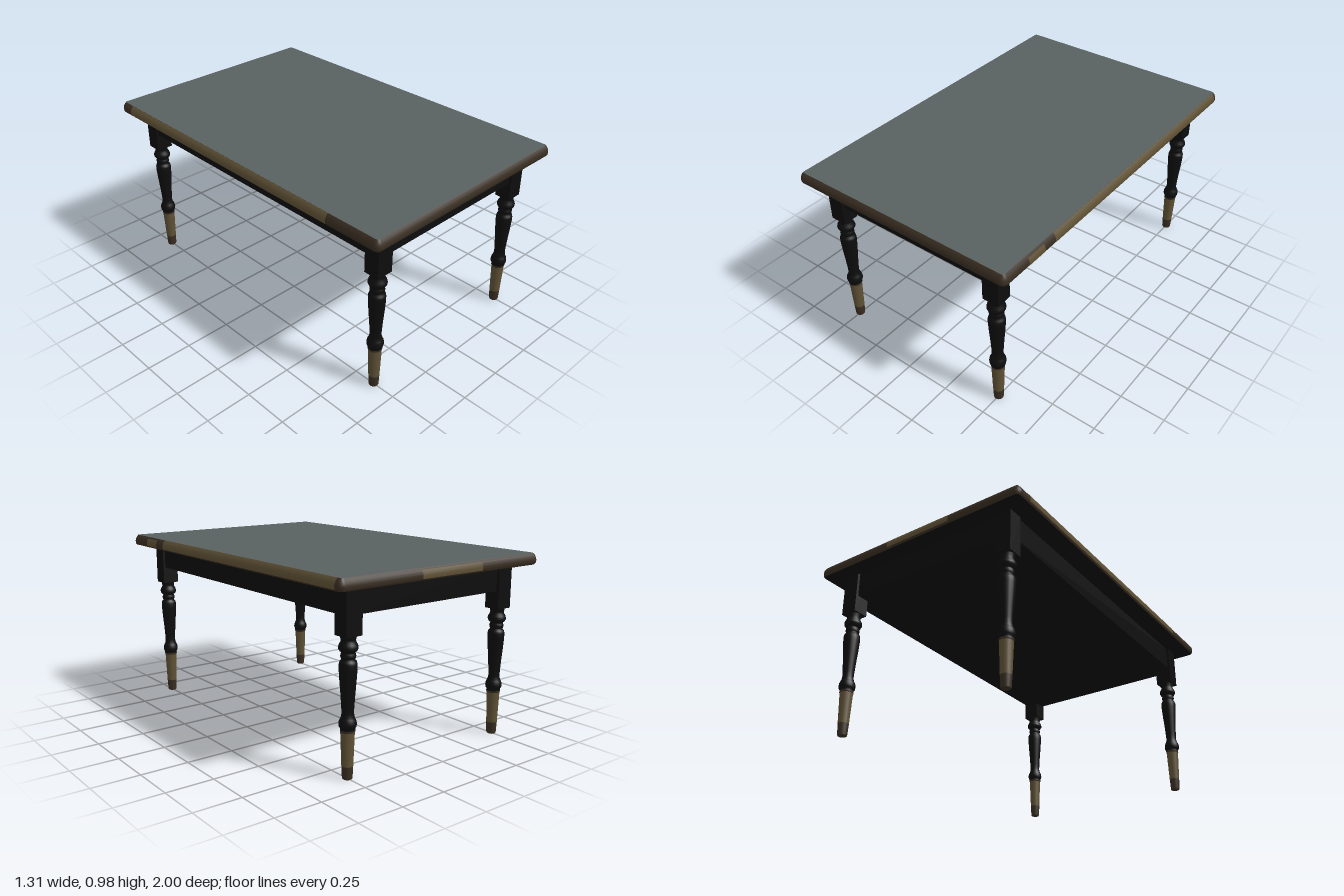
import * as THREE from 'three';

const mat = (name, color) => {
  const m = new THREE.MeshStandardMaterial({ color });
  m.name = name;
  return m;
};

const HALF_X = 0.652, HALF_Z = 1, CORNER = 0.03;
// Table edge profile, bottom to top: [inset, y]
const EDGE = [[0.009, 0.917], [0.002, 0.925], [0, 0.94], [0.003, 0.954], [0.01, 0.967], [0.018, 0.976]];

// Rounded rectangle outline in (x, z), shrunk by an inset
function outline(inset) {
  const pts = [];
  const r = CORNER - inset;
  [[1, 1], [-1, 1], [-1, -1], [1, -1]].forEach(([sx, sz], c) => {
    for (let i = 0; i <= 5; i++) {
      const a = (c + i / 5) * Math.PI / 2;
      pts.push(new THREE.Vector2(sx * (HALF_X - CORNER) + r * Math.cos(a), sz * (HALF_Z - CORNER) + r * Math.sin(a)));
    }
  });
  return pts;
}

// Rim of the table top, lofted through the profile
function rimGeometry() {
  const pos = [], idx = [];
  EDGE.forEach(([d, y]) => outline(d).forEach(p => pos.push(p.x, y, p.y)));
  const n = pos.length / 3 / EDGE.length;
  for (let j = 0; j < EDGE.length - 1; j++) {
    for (let i = 0; i < n; i++) {
      const a = j * n + i, b = j * n + (i + 1) % n;
      idx.push(a, a + n, b, b, a + n, b + n);
    }
  }
  const g = new THREE.BufferGeometry();
  g.setAttribute('position', new THREE.Float32BufferAttribute(pos, 3));
  g.setIndex(idx);
  g.computeVertexNormals();
  return g;
}

// Flat face closing the rim, facing up or down
function capGeometry([inset, y], up) {
  const g = new THREE.ShapeGeometry(new THREE.Shape(outline(inset)));
  g.rotateX(up ? -Math.PI / 2 : Math.PI / 2);
  return g.translate(0, y, 0);
}

// Worn strip lying just over the rim; runs from u0 to u1 along a side
function wornStrip(half, u0, u1, rows, angle) {
  const g = new THREE.PlaneGeometry(1, 1, 1, rows.length - 1);
  const p = g.attributes.position;
  for (let i = 0; i < p.count; i++) {
    const [d, y] = rows[rows.length - 1 - Math.floor(i / 2)];
    p.setXYZ(i, i % 2 ? u1 : u0, y + 0.0005, half - d + 0.0015);
  }
  g.computeVertexNormals();
  return g.rotateY(angle);
}

export function createModel() {
  const black = mat('blackPaint', 0x0d0d0d);
  const grey = mat('greyTop', 0x596060);
  const brown = mat('darkWood', 0x392e22);
  const tan = mat('wornWood', 0x5f5135);

  const model = new THREE.Group();
  model.name = 'diningTable';
  const add = (parent, name, geometry, material, x = 0, y = 0, z = 0) => {
    const m = new THREE.Mesh(geometry, material);
    m.name = name;
    m.position.set(x, y, z);
    parent.add(m);
    return m;
  };

  // Table top
  const top = new THREE.Group();
  top.name = 'tableTop';
  model.add(top);
  add(top, 'topSurface', capGeometry(EDGE[EDGE.length - 1], true), grey);
  add(top, 'topUnderside', capGeometry(EDGE[0], false), black);
  add(top, 'topRim', rimGeometry(), brown);

  // Worn patches along the rim (+x side runs toward -z, -x side toward +z)
  const side = Math.PI / 2;
  const upper = EDGE.slice(1), band = EDGE.slice(1, 5);
  [
    ['rimWearLeftLong', HALF_X, -0.62, 0.96, upper, side],
    ['rimWearLeftShort', HALF_X, -0.82, -0.7, band, side],
    ['rimWearRight', HALF_X, -0.9, 0.68, upper, -side],
    ['rimWearBack', HALF_Z, -0.17, 0.23, band, Math.PI],
  ].forEach(([name, half, u0, u1, rows, angle]) => add(top, name, wornStrip(half, u0, u1, rows, angle), tan));

  // Apron under the top
  add(model, 'apron', new THREE.BoxGeometry(1.07, 0.134, 1.8), black, 0, 0.851, 0);

  // Turned leg profiles: [radius, y]
  const lathe = pts => new THREE.LatheGeometry(pts.map(([r, y]) => new THREE.Vector2(r, y)), 20);
  const tip = lathe([[0, 0], [0.022, 0], [0.025, 0.004], [0.028, 0.065]]);
  const foot = lathe([[0.028, 0.065], [0.034, 0.232]]);
  const collar = lathe([[0.034, 0.232], [0.036, 0.235], [0.036, 0.243]]);
  const shaft = lathe([
    [0.036, 0.243], [0.036, 0.251], [0.041, 0.258], [0.043, 0.27], [0.041, 0.285], [0.036, 0.296],
    [0.032, 0.305], [0.029, 0.322], [0.03, 0.35], [0.034, 0.41], [0.039, 0.47], [0.043, 0.53],
    [0.043, 0.556], [0.039, 0.57], [0.03, 0.577], [0.034, 0.583], [0.037, 0.594], [0.034, 0.605],
    [0.031, 0.611], [0.04, 0.617], [0.046, 0.627], [0.047, 0.636], [0.043, 0.649], [0.036, 0.66],
    [0.035, 0.67], [0.038, 0.683], [0.039, 0.692],
  ]);
  const block = new THREE.BoxGeometry(0.093, 0.229, 0.086);

  for (const sz of [1, -1]) {
    for (const sx of [1, -1]) {
      const leg = new THREE.Group();
      leg.name = (sz > 0 ? 'front' : 'back') + (sx > 0 ? 'Left' : 'Right') + 'Leg';
      leg.position.set(sx * 0.501, 0, sz * 0.872);
      add(leg, 'legTip', tip, brown);
      add(leg, 'legFoot', foot, tan);
      add(leg, 'legCollar', collar, brown);
      add(leg, 'legShaft', shaft, black);
      add(leg, 'legBlock', block, black, 0, 0.8035, 0);
      model.add(leg);
    }
  }
  return model;
}
